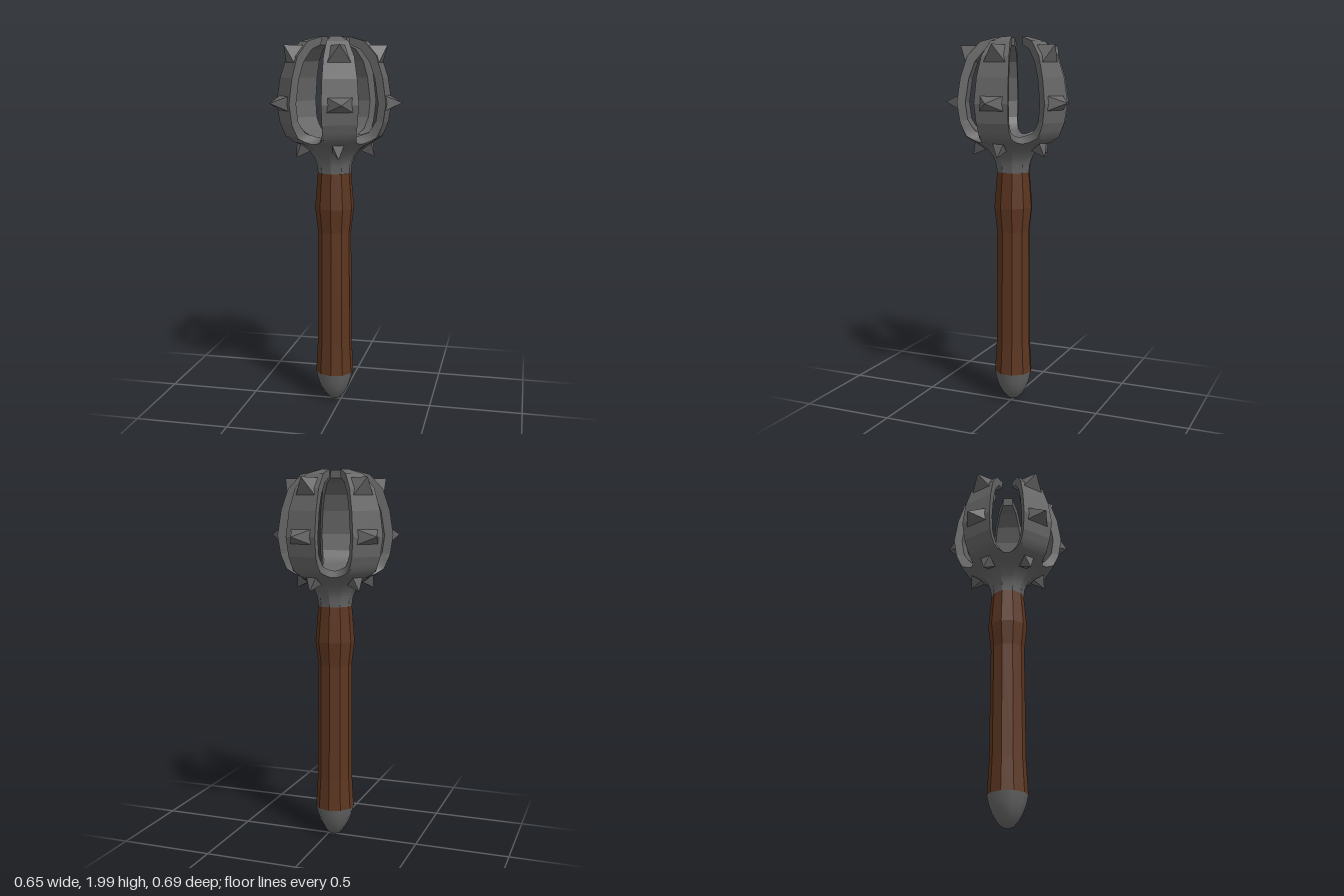
import * as THREE from 'three';
import { mergeVertices } from 'three/addons/utils/BufferGeometryUtils.js';

const SIDES = 10;
const SECTOR = (Math.PI * 2) / SIDES;
const TAN = Math.tan(SECTOR / 2);

// Point on a ten-sided ring: r = distance to the flat, u = -1..1 across the flat
function onFlat(sector, r, y, u) {
  return new THREE.Vector3(r, y, -r * TAN * u).applyAxisAngle(new THREE.Vector3(0, 1, 0), sector * SECTOR);
}

// Triangles from a list of point triples, with flat normals
function fromTriangles(points) {
  const g = new THREE.BufferGeometry().setFromPoints(points);
  g.computeVertexNormals();
  return g;
}

// Skin between neighbouring columns of points
function skin(columns) {
  const tris = [];
  for (let i = 0; i < columns.length - 1; i++) {
    const p = columns[i], q = columns[i + 1];
    for (let j = 0; j < p.length - 1; j++) tris.push(p[j], q[j], q[j + 1], p[j], q[j + 1], p[j + 1]);
  }
  return tris;
}

function smooth(points) {
  const g = mergeVertices(new THREE.BufferGeometry().setFromPoints(points), 1e-5);
  g.computeVertexNormals();
  return g;
}

// Point part-way along a three-point [r, y] path
function along(path, s) {
  const k = s < 0.5 ? 0 : 1, f = s * 2 - k;
  return [0, 1].map((c) => path[k][c] + (path[k + 1][c] - path[k][c]) * f);
}

const v2 = (list) => list.map(([x, y]) => new THREE.Vector2(x, y));

// Cup with scooped rim: low between the prongs, high at the prongs
const CUP_OUT = [[0.085, 1.29], [0.09, 1.335], [0.105, 1.375], [0.135, 1.415], [0.17, 1.44]];
const RIM_OUT = [[0.205, 1.455], [0.247, 1.485], [0.275, 1.56]];
const RIM_IN = [[0.14, 1.485], [0.2, 1.51], [0.235, 1.57]];
const BOWL = [[0.1, 1.455], [0.05, 1.435], [0.0005, 1.43]];

function cupColumns() {
  const outer = [], rim = [], bowl = [], STEPS = 12;
  for (let k = 0; k < SIDES; k++) {
    for (let i = 0; i <= STEPS; i++) {
      const a = (i / STEPS - 0.5) * Math.PI;
      const u = Math.sin(a);
      const s = k % 2 ? 1 - Math.cos(a) : 1;
      const at = ([r, y]) => onFlat(k, r, y, u);
      const steps = [0, 0.25, 0.5, 0.75, 1].map((f) => f * s);
      const o = steps.map((t) => at(along(RIM_OUT, t)));
      const n = steps.map((t) => at(along(RIM_IN, t))).reverse();
      outer.push([...CUP_OUT.map(at), ...o]);
      rim.push([o[4], n[0]]);
      bowl.push([...n, ...BOWL.map(at)]);
    }
  }
  return { outer, rim, bowl };
}

// Curved prong sections: outer r, y, inner r, y
const PRONG = [
  [0.275, 1.56, 0.235, 1.57],
  [0.29, 1.66, 0.247, 1.66],
  [0.271, 1.79, 0.228, 1.785],
  [0.236, 1.9, 0.197, 1.872],
  [0.17, 1.975, 0.145, 1.935],
  [0.08, 2.0, 0.088, 1.958],
];

function prongGeometry(k) {
  const corner = [[0, -1], [0, 1], [2, 1], [2, -1], [0, -1]];
  const columns = corner.map(([c, u]) => PRONG.map((p) => onFlat(k, p[c], p[c + 1], u)));
  const [a, b, c, d] = columns.map((col) => col[col.length - 1]);
  return fromTriangles([...skin(columns), a, b, c, a, c, d]);
}

// Four-sided spike: low and high base edges [r, y, half width], tip [r, y]
const SPIKES = [
  { name: 'lowerSpike', low: [0.145, 1.412, 0.024], high: [0.203, 1.452, 0.03], tip: [0.217, 1.38] },
  { name: 'middleSpike', low: [0.28, 1.622, 0.07], high: [0.28, 1.7, 0.066], tip: [0.362, 1.663] },
  { name: 'upperSpike', low: [0.247, 1.868, 0.06], high: [0.186, 1.954, 0.036], tip: [0.281, 1.957] },
];

function spikeGeometry(k, { low, high, tip }) {
  const at = ([r, y, w], side) => onFlat(k, r, y, (side * w) / (r * TAN));
  const base = [at(low, -1), at(low, 1), at(high, 1), at(high, -1)];
  const apex = onFlat(k, tip[0], tip[1], 0);
  return fromTriangles(base.flatMap((p, i) => [p, base[(i + 1) % 4], apex]));
}

export function createModel() {
  const metal = new THREE.MeshStandardMaterial({ color: 0x666666 });
  metal.name = 'dark steel';
  const wood = new THREE.MeshStandardMaterial({ color: 0x5c3520 });
  wood.name = 'brown wood';

  const group = new THREE.Group();
  group.name = 'spikedMace';
  const add = (name, geometry, material, parent = group) => {
    const mesh = new THREE.Mesh(geometry, material);
    mesh.name = name;
    parent.add(mesh);
  };

  // Rounded pommel
  const pommel = v2([[0, 0.008], [0.03, 0.018], [0.055, 0.045], [0.078, 0.085], [0.094, 0.13], [0.104, 0.175]]);
  add('pommel', new THREE.LatheGeometry(pommel, SIDES), metal);

  // Faceted wooden grip
  const grip = v2([[0.104, 0.175], [0.094, 0.35], [0.09, 0.97], [0.105, 1.1], [0.0895, 1.29]]);
  const gripGeometry = new THREE.LatheGeometry(grip, SIDES).toNonIndexed();
  gripGeometry.computeVertexNormals();
  add('grip', gripGeometry, wood);

  // Cup
  const cup = cupColumns();
  add('cupOutside', smooth(skin(cup.outer)), metal);
  add('cupRim', smooth(skin(cup.rim)), metal);
  add('cupInside', smooth(skin(cup.bowl)), metal);

  // Five prongs with three spikes each
  for (let k = 0; k < SIDES; k += 2) {
    const prong = new THREE.Group();
    prong.name = 'spikedProng';
    add('prong', prongGeometry(k), metal, prong);
    for (const spike of SPIKES) add(spike.name, spikeGeometry(k, spike), metal, prong);
    group.add(prong);
  }

  // Shift so the five-fold head is centred by its extents
  for (const part of group.children) part.position.x = -0.035;
  return group;
}
